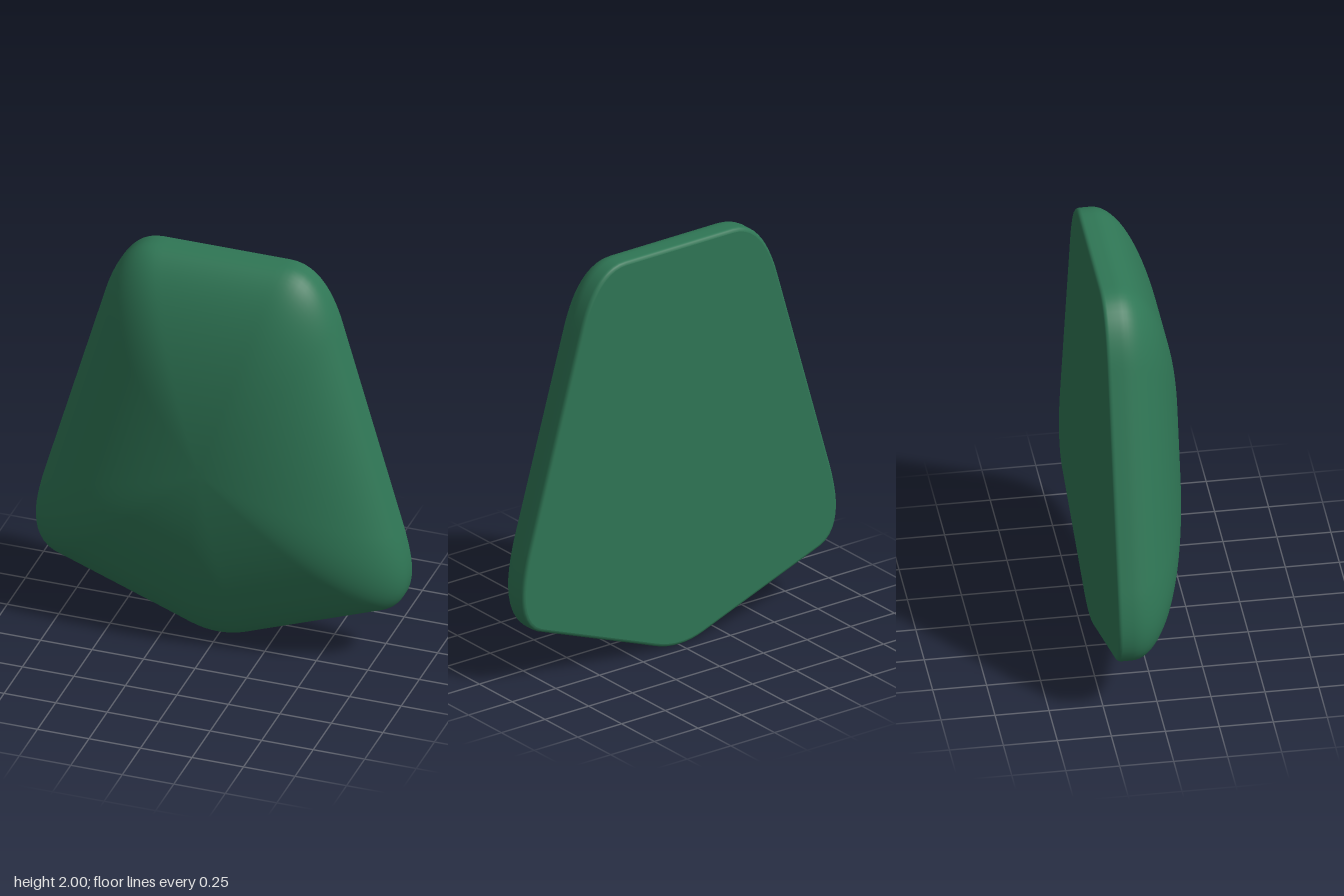
import * as THREE from 'three';

const CENTRE_Y = 1;

// Rounded five-sided outline, counter-clockwise seen from the front
function outlinePoints() {
  const v = (x, y) => new THREE.Vector2(x, y);
  const half = new THREE.CurvePath();
  half.add(new THREE.CubicBezierCurve(v(0, 0), v(0.08, 0), v(0.13, 0.023), v(0.2, 0.05)));
  half.add(new THREE.LineCurve(v(0.2, 0.05), v(0.8, 0.275)));
  half.add(new THREE.CubicBezierCurve(v(0.8, 0.275), v(0.87, 0.301), v(0.9, 0.37), v(0.9, 0.46)));
  half.add(new THREE.CubicBezierCurve(v(0.9, 0.46), v(0.9, 0.52), v(0.885, 0.59), v(0.867, 0.66)));
  half.add(new THREE.LineCurve(v(0.867, 0.66), v(0.56, 1.72)));
  half.add(new THREE.CubicBezierCurve(v(0.56, 1.72), v(0.51, 1.89), v(0.43, 2), v(0.31, 2)));
  half.add(new THREE.LineCurve(v(0.31, 2), v(0, 2)));
  const right = half.getSpacedPoints(90);
  const left = right.slice(1, -1).reverse().map((p) => v(-p.x, p.y));
  return [...right, ...left];
}

// Section from the dome's crown to the back rim: [outline scale, z]
function sectionProfile() {
  const rings = [];
  const steps = 28;
  for (let i = 1; i <= steps; i++) {
    const a = (i / steps) * Math.PI / 2;
    rings.push([Math.sin(a), -0.13 + 0.33 * Math.cos(a)]);
  }
  rings.push([1, -0.155], [1, -0.18]);
  for (let i = 1; i <= 4; i++) {
    const a = (i / 4) * Math.PI / 2;
    rings.push([0.982 + 0.018 * Math.cos(a), -0.18 - 0.02 * Math.sin(a)]);
  }
  return rings;
}

function surface(positions, index) {
  const g = new THREE.BufferGeometry();
  g.setAttribute('position', new THREE.Float32BufferAttribute(positions, 3));
  g.setIndex(index);
  g.computeVertexNormals();
  return g;
}

export function createModel() {
  const group = new THREE.Group();
  group.name = 'domedShield';
  const material = new THREE.MeshStandardMaterial({ color: 0x2f7655 });
  const outline = outlinePoints();
  const profile = sectionProfile();
  const n = outline.length;
  const ring = ([s, z]) => outline.flatMap((p) => [p.x * s, CENTRE_Y + (p.y - CENTRE_Y) * s, z]);

  // Domed front and rounded rim
  const pos = [0, CENTRE_Y, 0.2, ...profile.flatMap(ring)];
  const index = [];
  for (let j = 0; j < n; j++) {
    const k = (j + 1) % n;
    index.push(0, 1 + j, 1 + k);
    for (let i = 0; i < profile.length - 1; i++) {
      const a = 1 + i * n, b = a + n;
      index.push(a + j, b + j, b + k, a + j, b + k, a + k);
    }
  }
  const dome = new THREE.Mesh(surface(pos, index), material);
  dome.name = 'domedFront';
  group.add(dome);

  // Flat back
  const backIndex = [];
  for (let j = 0; j < n; j++) backIndex.push(0, 1 + (j + 1) % n, 1 + j);
  const backPos = [0, CENTRE_Y, -0.2, ...ring(profile[profile.length - 1])];
  const back = new THREE.Mesh(surface(backPos, backIndex), material);
  back.name = 'flatBack';
  group.add(back);

  return group;
}
